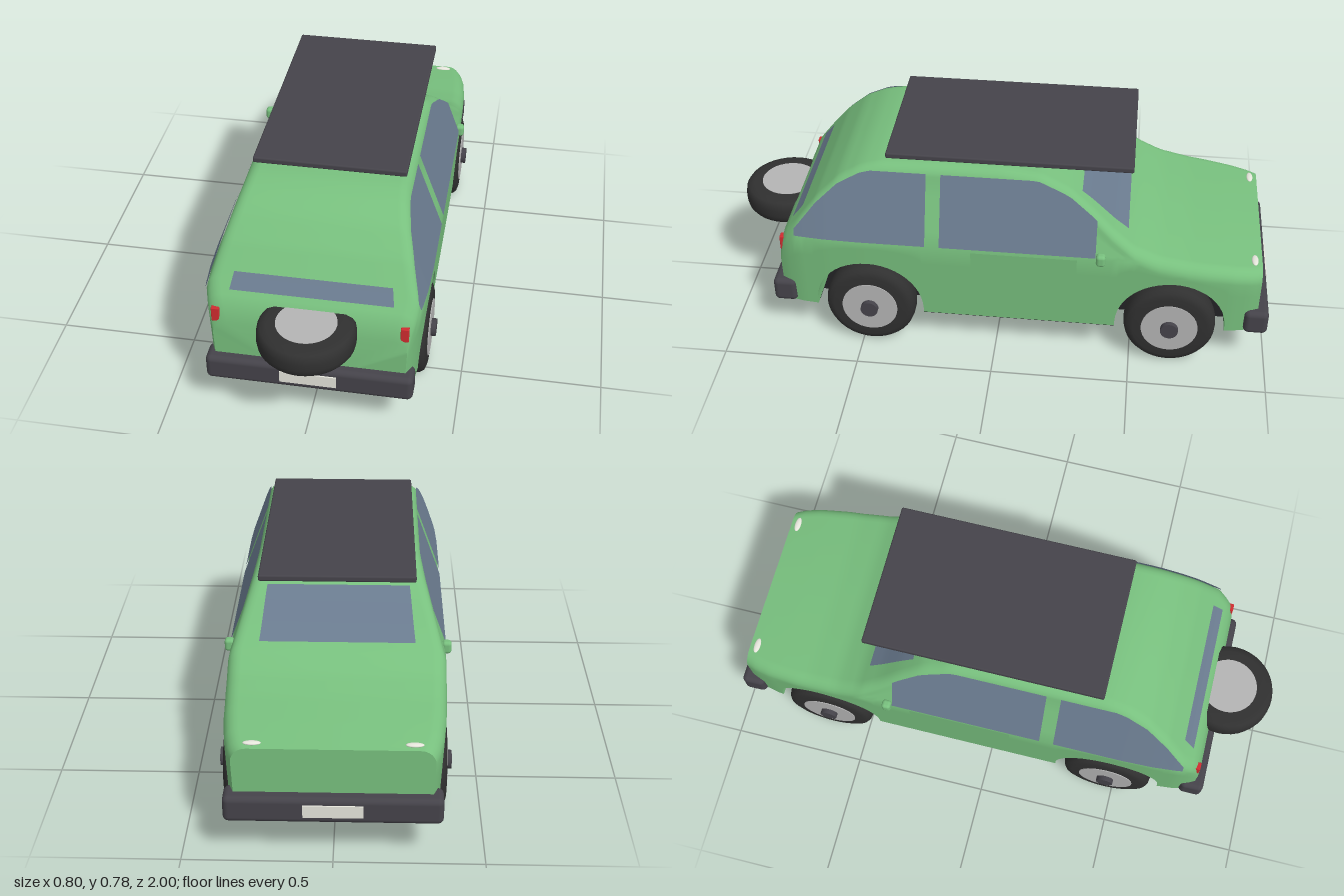
import * as THREE from 'three';
import { toCreasedNormals } from 'three/addons/utils/BufferGeometryUtils.js';
import { RoundedBoxGeometry } from 'three/addons/geometries/RoundedBoxGeometry.js';

const paint = (color, side = THREE.FrontSide) => new THREE.MeshStandardMaterial({ color, side });
const GREEN = paint(0x78c07e), GREEN2 = paint(0x78c07e, THREE.DoubleSide);
const GLASS = paint(0x6b7c90, THREE.DoubleSide), DARK = paint(0x45434a), TYRE = paint(0x303030);
const RIM = paint(0xb4b4b4), RED = paint(0xd02c30), WHITE = paint(0xe6e6dc);
const FLOOR = paint(0x1c1c1e, THREE.DoubleSide);

// Roof line [z, y] and plan taper [z, factor], from tailgate to nose
const ROOF = [[0.797, 0.38], [0.778, 0.45], [0.727, 0.51], [0.647, 0.61], [0.567, 0.685], [0.487, 0.727],
  [0.42, 0.743], [0.25, 0.748], [-0.02, 0.748], [-0.155, 0.733], [-0.26, 0.69], [-0.34, 0.63], [-0.42, 0.56],
  [-0.5, 0.502], [-0.58, 0.466], [-0.69, 0.444], [-0.82, 0.428], [-0.955, 0.41]];
const PLAN = [[0.797, 0.89], [0.77, 0.93], [0.72, 0.965], [0.62, 0.99], [0.5, 1], [-0.6, 1],
  [-0.75, 0.985], [-0.86, 0.955], [-0.92, 0.92], [-0.955, 0.88]];
const WHEEL_Y = 0.168, WHEEL_Z = [0.465, -0.64], ARCH_R = 0.2, SILL = 0.15, BELT = 0.46;

function sample(table, z) {
  let i = 0;
  while (i < table.length - 2 && z < table[i + 1][0]) i++;
  const [z0, v0] = table[i], [z1, v1] = table[i + 1];
  return v0 + (v1 - v0) * THREE.MathUtils.clamp((z - z0) / (z1 - z0), 0, 1);
}
const roofY = z => sample(ROOF, z);
// Half width of the side wall: nearly upright below the belt, leaning in above
const sideX = (y, z) => sample(PLAN, z) *
  (y < BELT ? 0.364 + 0.014 * (y - SILL) / (BELT - SILL) : 0.378 - (y - BELT) * 0.37);

// One closed cross-section, counter-clockwise from the bottom centre
function section(z, bottom) {
  const top = roofY(z), r = 0.05, shoulder = top - r, belt = Math.min(BELT, shoulder);
  const half = [];
  for (let i = 0; i <= 4; i++) half.push(bottom + (belt - bottom) * i / 4);
  for (let i = 1; i <= 4; i++) half.push(belt + (shoulder - belt) * i / 4);
  const right = half.map(y => [sideX(y, z), y]);
  const x0 = sideX(shoulder, z);
  for (let i = 1; i <= 6; i++) {
    const a = i / 6 * Math.PI / 2;
    right.push([x0 - r * (1 - Math.cos(a)), shoulder + r * Math.sin(a)]);
  }
  const left = right.map(([x, y]) => [-x, y]).reverse();
  return [[0, bottom], ...right, [0, top], ...left].map(([x, y]) => [x, y, z]);
}

function bodyGeometry() {
  // Stations along the car, with the wheel arches cut into the bottom edge
  const stations = [];
  const straight = (a, b, n) => {
    for (let i = 0; i <= n; i++) stations.push([a + (b - a) * i / n, SILL]);
  };
  const arch = c => {
    for (let i = 0; i <= 24; i++) {
      const a = i / 24 * Math.PI;
      stations.push([c + ARCH_R * Math.cos(a), WHEEL_Y + ARCH_R * Math.sin(a)]);
    }
  };
  straight(0.797, WHEEL_Z[0] + ARCH_R, 7);
  arch(WHEEL_Z[0]);
  straight(WHEEL_Z[0] - ARCH_R, WHEEL_Z[1] + ARCH_R, 30);
  arch(WHEEL_Z[1]);
  straight(WHEEL_Z[1] - ARCH_R, -0.955, 6);

  const rings = stations.map(([z, b]) => section(z, b));
  const n = rings[0].length, last = rings.length - 1, index = [];
  for (let i = 0; i < last; i++) {
    for (let j = 0; j < n; j++) {
      const k = (j + 1) % n, a = i * n + j, b = i * n + k, c = b + n, d = a + n;
      index.push(a, d, c, a, c, b);
    }
  }
  for (let j = 1; j < n - 1; j++) index.push(0, j, j + 1, last * n, last * n + j + 1, last * n + j);
  const geo = new THREE.BufferGeometry();
  geo.setAttribute('position', new THREE.Float32BufferAttribute(rings.flat(2), 3));
  geo.setIndex(index);
  return toCreasedNormals(geo, 0.6);
}

// Thin curved sheet: point(u, v) gives a position for u, v in 0..1
function sheet(point, nu, nv) {
  const geo = new THREE.PlaneGeometry(1, 1, nu, nv), p = geo.attributes.position;
  for (let i = 0; i < p.count; i++) p.setXYZ(i, ...point(p.getX(i) + 0.5, p.getY(i) + 0.5));
  geo.computeVertexNormals();
  return geo;
}
// Sheet lying on the side wall; s is +1 or -1 and chooses the side
const sidePanel = (s, zA, zB, y0, topAt, gap) => sheet((u, v) => {
  const z = zA + (zB - zA) * u, y = y0 + (topAt(z) - y0) * v;
  return [s * (sideX(y, z) + gap), y, z];
}, 24, 6).scale(1, 1, 1);
// Sheet lying on the roof line
const roofPanel = (zA, zB, wA, wB, gap) => sheet((u, v) => {
  const z = zA + (zB - zA) * v;
  return [(u - 0.5) * 2 * (wA + (wB - wA) * v), roofY(z) + gap, z];
}, 1, 10);

export function createModel() {
  const model = new THREE.Group();
  const add = (name, geo, mat, x = 0, y = 0, z = 0, parent = model) => {
    const m = new THREE.Mesh(geo, mat);
    m.name = name;
    m.position.set(x, y, z);
    parent.add(m);
    return m;
  };
  const box = (w, h, d, r) => new RoundedBoxGeometry(w, h, d, 3, r);

  add('body', bodyGeometry(), GREEN);

  // Dark underside between the arches, and a centre strip along the car
  const floor = (w, zA, zB, y) =>
    add('floor', new THREE.PlaneGeometry(w, zA - zB).rotateX(Math.PI / 2), FLOOR, 0, y, (zA + zB) / 2);
  floor(0.54, 0.79, -0.95, 0.148);
  floor(0.66, 0.79, 0.665, 0.147);
  floor(0.724, 0.265, -0.44, 0.147);
  floor(0.64, -0.84, -0.95, 0.147);

  // Windows
  const glassTop = z => Math.min(0.722, roofY(z) - 0.014);
  add('rearWindow', roofPanel(0.75, 0.71, 0.278, 0.268, 0.006), GLASS);
  add('windscreen', roofPanel(-0.47, -0.3, 0.27, 0.25, 0.006), GLASS);

  // Wheel with its axis along +x, outer face towards +x
  const tyreProfile = [[0.09, -0.05], [0.135, -0.05], [0.155, -0.043], [0.164, -0.03], [0.167, -0.012],
    [0.167, 0.012], [0.164, 0.03], [0.155, 0.043], [0.135, 0.05], [0.09, 0.05]];
  const tyreGeo = new THREE.LatheGeometry(tyreProfile.map(p => new THREE.Vector2(...p)), 40).rotateZ(-Math.PI / 2);
  const disc = (r, w) => new THREE.CylinderGeometry(r, r, w, 32).rotateZ(-Math.PI / 2);
  const wheel = name => {
    const g = new THREE.Group();
    g.name = name;
    add('tyre', tyreGeo, TYRE, 0, 0, 0, g);
    add('rim', disc(0.103, 0.104), RIM, 0.001, 0, 0, g);
    add('hubCap', disc(0.032, 0.06), DARK, 0.041, 0, 0, g);
    model.add(g);
    return g;
  };

  for (const s of [1, -1]) {
    const side = s > 0 ? 'left' : 'right';
    add(side + 'RearSideWindow', sidePanel(s, 0.728, 0.25, 0.47, glassTop, 0.007), GLASS);
    add(side + 'FrontSideWindow', sidePanel(s, 0.198, -0.36, 0.47, glassTop, 0.007), GLASS);
    add(side + 'Door', sidePanel(s, 0.085, -0.295, 0.23, () => 0.455, 0.003), GREEN2);
    add(side + 'Mirror', box(0.034, 0.046, 0.034, 0.012), GREEN, s * 0.383, 0.467, -0.379);
    add(side + 'TailLight', box(0.028, 0.055, 0.03, 0.003), RED, s * 0.321, 0.407, 0.778);
    add(side + 'HeadLight', new THREE.SphereGeometry(0.03, 20, 10).scale(1, 0.2, 0.4), WHITE, s * 0.26, 0.415, -0.928);
    WHEEL_Z.forEach((z, i) => {
      const w = wheel(side + (i ? 'FrontWheel' : 'RearWheel'));
      w.position.set(s * 0.327, WHEEL_Y, z);
      if (s < 0) w.rotation.y = Math.PI;
    });
  }

  // Spare wheel lying flat behind the tailgate, hub down
  const spare = wheel('spareWheel');
  spare.rotation.z = -Math.PI / 2;
  spare.position.set(0, 0.406, 0.833);

  // Bumpers with number plates
  for (const [name, z, s] of [['rear', 0.789, 1], ['front', -0.951, -1]]) {
    add(name + 'Bumper', box(0.716, 0.096, 0.088, 0.02), DARK, 0, 0.197, z);
    add(name + 'Plate', new THREE.BoxGeometry(0.196, 0.045, 0.01), WHITE, 0, 0.2, z + s * 0.044);
  }

  // Flat panel above the roof
  add('roofPanel', box(0.534, 0.022, 0.872, 0.006), DARK, 0, 0.774, -0.04);
  return model;
}
